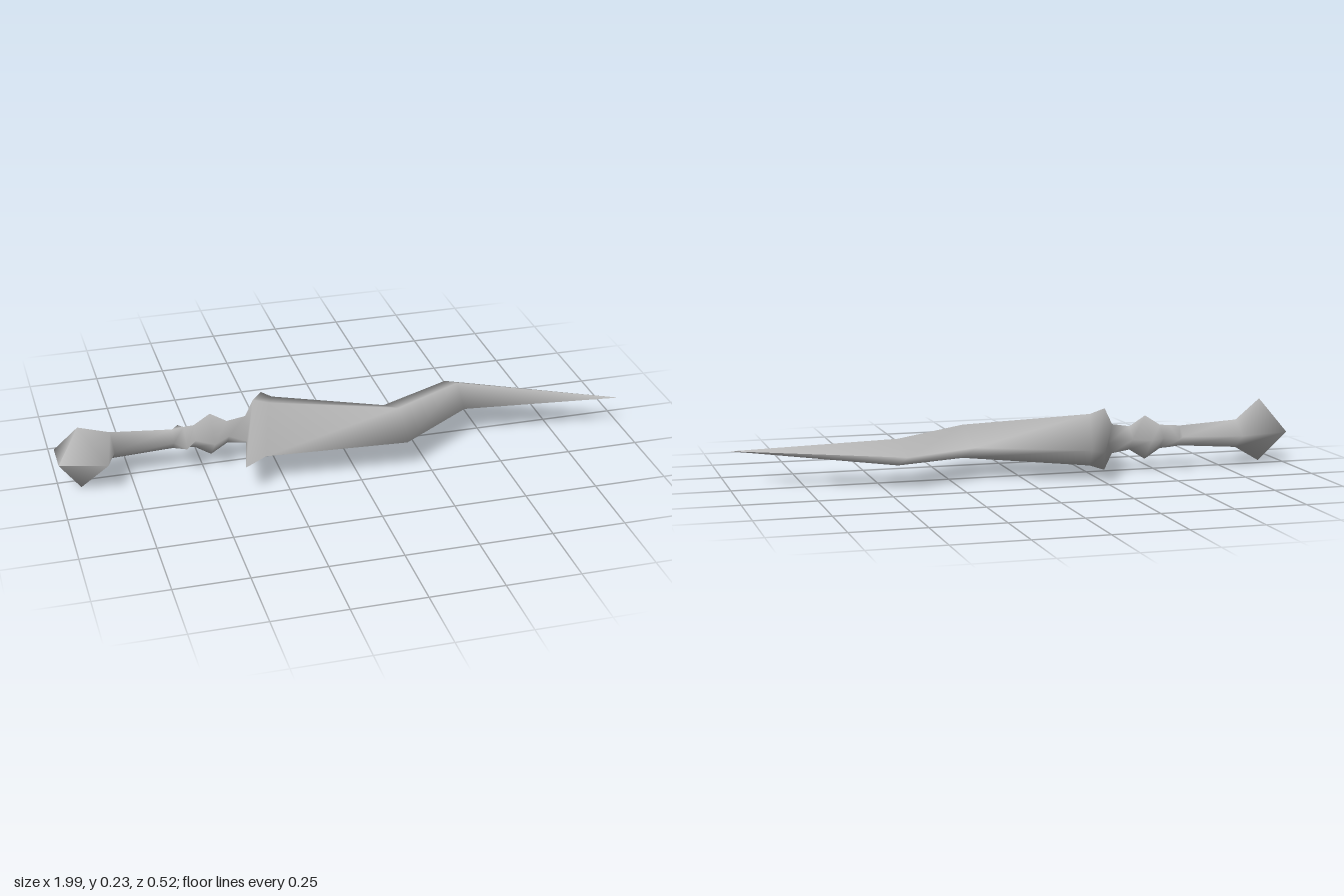
import * as THREE from 'three';

const MID = 0.114; // height of the weapon's centre plane

// Slanted diamond sections: front corner x,z | back corner x,z | ridge x,z, half height
const RINGS = [
  // pommel
  [-1, 0.087, -1, 0.087, -1, 0.087, 0],
  [-0.84, 0.131, -1, -0.03, -0.925, 0.048, 0.114],
  [-0.805, 0.045, -0.81, -0.077, -0.81, -0.01, 0.05],
  // grip
  [-0.6, 0.032, -0.6, -0.035, -0.6, 0, 0.036],
  [-0.565, 0.088, -0.565, -0.093, -0.56, 0, 0.04],
  [-0.525, 0.036, -0.525, -0.04, -0.525, 0, 0.042],
  [-0.468, 0.08, -0.468, -0.08, -0.468, 0, 0.078],
  [-0.41, 0.034, -0.41, -0.04, -0.41, 0, 0.042],
  [-0.36, 0.085, -0.3, -0.09, -0.345, 0, 0.052],
  // guard
  [-0.402, 0.262, -0.23, -0.262, -0.317, 0, 0.11],
  [-0.32, 0.205, -0.2, -0.217, -0.262, 0, 0.092],
  // wavy blade
  [0.165, 0.237, 0.165, -0.048, 0.175, 0.095, 0.059],
  [0.43, 0.055, 0.432, -0.172, 0.44, -0.058, 0.046],
  [0.985, 0.117, 0.985, 0.117, 0.985, 0.117, 0],
];

export function createModel() {
  const group = new THREE.Group();
  const grey = new THREE.MeshStandardMaterial({ color: 0xb8b8b8 });
  grey.name = 'grey metal';

  // corners of every section: top, front, bottom, back
  const points = RINGS.flatMap(([fx, fz, bx, bz, rx, rz, h]) => [
    rx, MID + h, rz, fx, MID, fz, rx, MID - h, rz, bx, MID, bz,
  ]);

  // skin between sections first..last
  const skin = (first, last) => {
    const index = [];
    for (let i = first; i < last; i++) {
      for (let j = 0; j < 4; j++) {
        const a = i * 4 + j, b = i * 4 + ((j + 1) % 4);
        if (RINGS[i][6] > 0) index.push(a, b, a + 4);
        if (RINGS[i + 1][6] > 0) index.push(b, b + 4, a + 4);
        else if (RINGS[i][6] === 0) index.push(b, b + 4, a + 4);
      }
    }
    return index;
  };

  // shared smooth normals keep the joints between parts seamless
  const whole = new THREE.BufferGeometry();
  whole.setAttribute('position', new THREE.Float32BufferAttribute(points, 3));
  whole.setIndex(skin(0, RINGS.length - 1));
  whole.computeVertexNormals();

  const parts = { pommel: [0, 2], grip: [2, 8], guard: [8, 10], blade: [10, 13] };
  for (const [name, [first, last]] of Object.entries(parts)) {
    const geometry = whole.clone();
    geometry.setIndex(skin(first, last));
    const mesh = new THREE.Mesh(geometry, grey);
    mesh.name = name;
    group.add(mesh);
  }
  return group;
}
